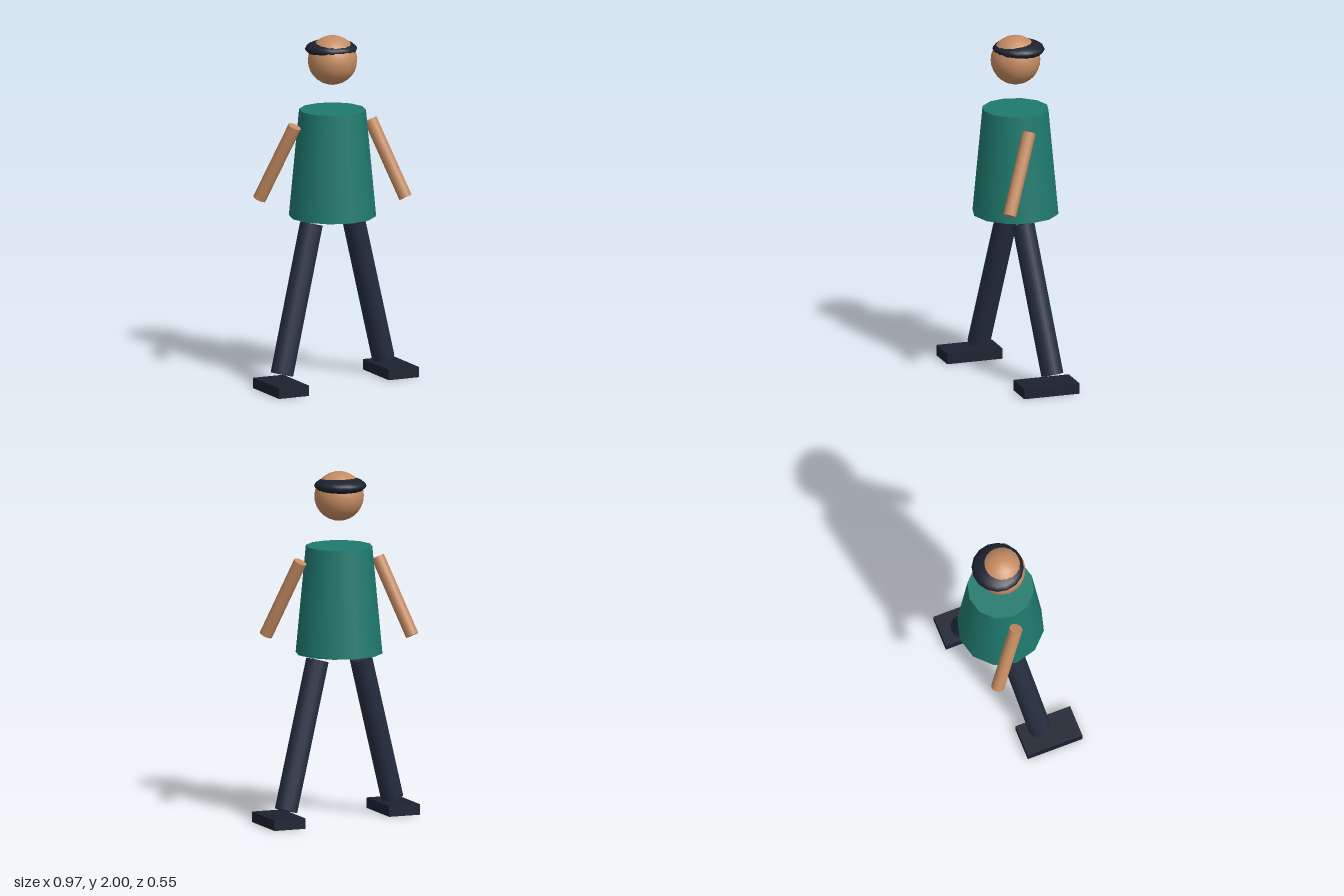
import * as THREE from 'three';

const mat = (color) => new THREE.MeshStandardMaterial({ color });

export function createModel() {
  const model = new THREE.Group();
  const skin = mat(0xc68c62), shirt = mat(0x1f7a6e), trousers = mat(0x252e40);
  const dark = mat(0x1b2130);
  const Z = -0.03; // body axis, set slightly back

  const add = (name, geometry, material, x, y, z) => {
    const mesh = new THREE.Mesh(geometry, material);
    mesh.name = name;
    mesh.position.set(x, y, z);
    model.add(mesh);
    return mesh;
  };

  // Straight round limb between two points
  const limb = (name, from, to, radius, material) => {
    const dir = new THREE.Vector3().subVectors(from, to);
    const mid = new THREE.Vector3().addVectors(from, to).multiplyScalar(0.5);
    const geometry = new THREE.CylinderGeometry(radius, radius, dir.length(), 12);
    const mesh = add(name, geometry, material, mid.x, mid.y, mid.z);
    mesh.quaternion.setFromUnitVectors(new THREE.Vector3(0, 1, 0), dir.normalize());
  };

  // Tapered torso
  add('torso', new THREE.CylinderGeometry(0.19, 0.248, 0.615, 12), shirt, 0, 1.267, Z);

  // Head with a flattened cap of hair, pushed back
  add('head', new THREE.SphereGeometry(0.141, 20, 14), skin, 0, 1.86, Z);
  add('hair', new THREE.SphereGeometry(0.148, 16, 12), dark, 0, 1.923, -0.048)
    .scale.y = 0.34;

  // Limbs swing in opposite directions on each side
  for (const [side, s] of [['left', 1], ['right', -1]]) {
    limb(side + 'Arm',
      new THREE.Vector3(s * 0.238, 1.496, Z),
      new THREE.Vector3(s * 0.379, 1.06, Z + s * 0.167), 0.038, skin);
    limb(side + 'Leg',
      new THREE.Vector3(s * 0.133, 0.925, Z),
      new THREE.Vector3(s * 0.365, 0.09, Z - s * 0.094), 0.065, trousers);
    add(side + 'Foot', new THREE.BoxGeometry(0.19, 0.06, 0.332), dark,
      s * 0.392, 0.03, 0.015 - s * 0.095);
  }
  return model;
}
